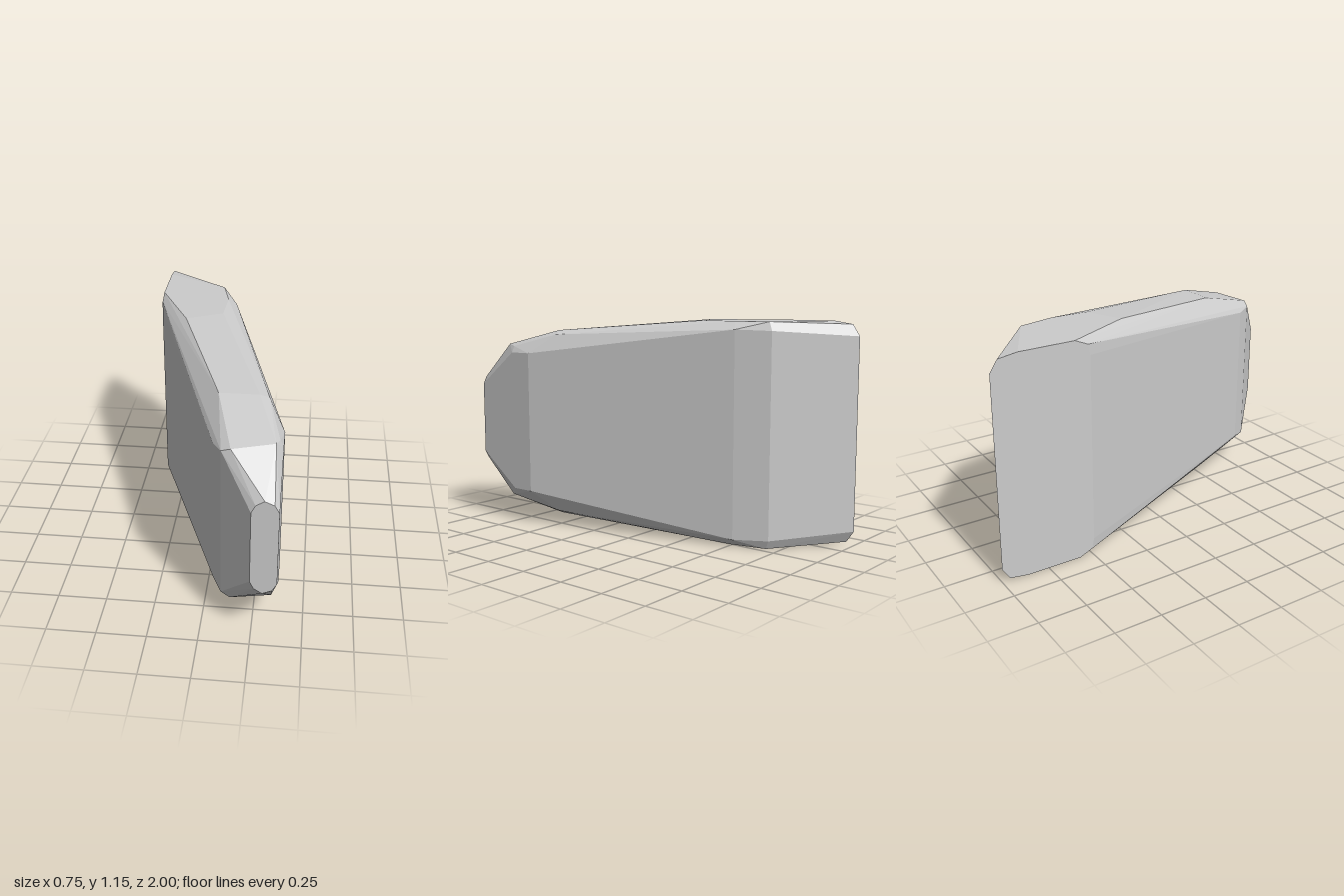
import * as THREE from 'three';
import { ConvexGeometry } from 'three/addons/geometries/ConvexGeometry.js';

const HEIGHT = 1.155;

// Corners of the upper half as [x, y, z]; the lower half mirrors them
const wallCorners = [
  [-0.375, 1.08, -1], [-0.03, 1.11, -0.70], [0.045, 1.115, -0.53],
  [0.372, 0.965, 0.62], [0.372, 0.965, 0.75], [0.05, 0.965, 0.75],
  [0.095, 0.98, 0.835], [-0.375, 1.07, -0.49],
];
const noseFace = [
  [0.245, 0.77, 1], [0.265, 0.81, 1], [0.305, 0.835, 1],
  [0.35, 0.815, 1], [0.372, 0.775, 1],
];
const bevelCorners = [
  [-0.375, 1.14, -0.96], [-0.375, 1.125, -0.5], [0.29, 1.07, 0.48],
  [0.0, 1.05, 0.45], [0.355, 1.0, 0.75], [0.34, 1.01, 0.8], [0.14, 1.0, 0.85],
];
const topFace = [
  [-0.375, 1.155, -0.86], [-0.04, 1.155, -0.68], [0, 1.155, -0.5],
  [-0.01, 1.155, -0.3], [-0.2, 1.155, -0.21], [-0.375, 1.155, -0.57],
  [0.05, 1.092, 0.5], [0.245, 1.092, 0.5],
];

export function createModel() {
  const group = new THREE.Group();
  group.name = 'facetedSlab';

  const points = [];
  for (const [x, y, z] of [...wallCorners, ...noseFace, ...bevelCorners, ...topFace]) {
    points.push(new THREE.Vector3(x, y, z), new THREE.Vector3(x, HEIGHT - y, z));
  }

  // One solid, bevelled slab with flat facets
  const slab = new THREE.Mesh(
    new ConvexGeometry(points),
    new THREE.MeshStandardMaterial({ color: 0xcccccc, flatShading: true }),
  );
  slab.name = 'slab';
  group.add(slab);
  return group;
}
